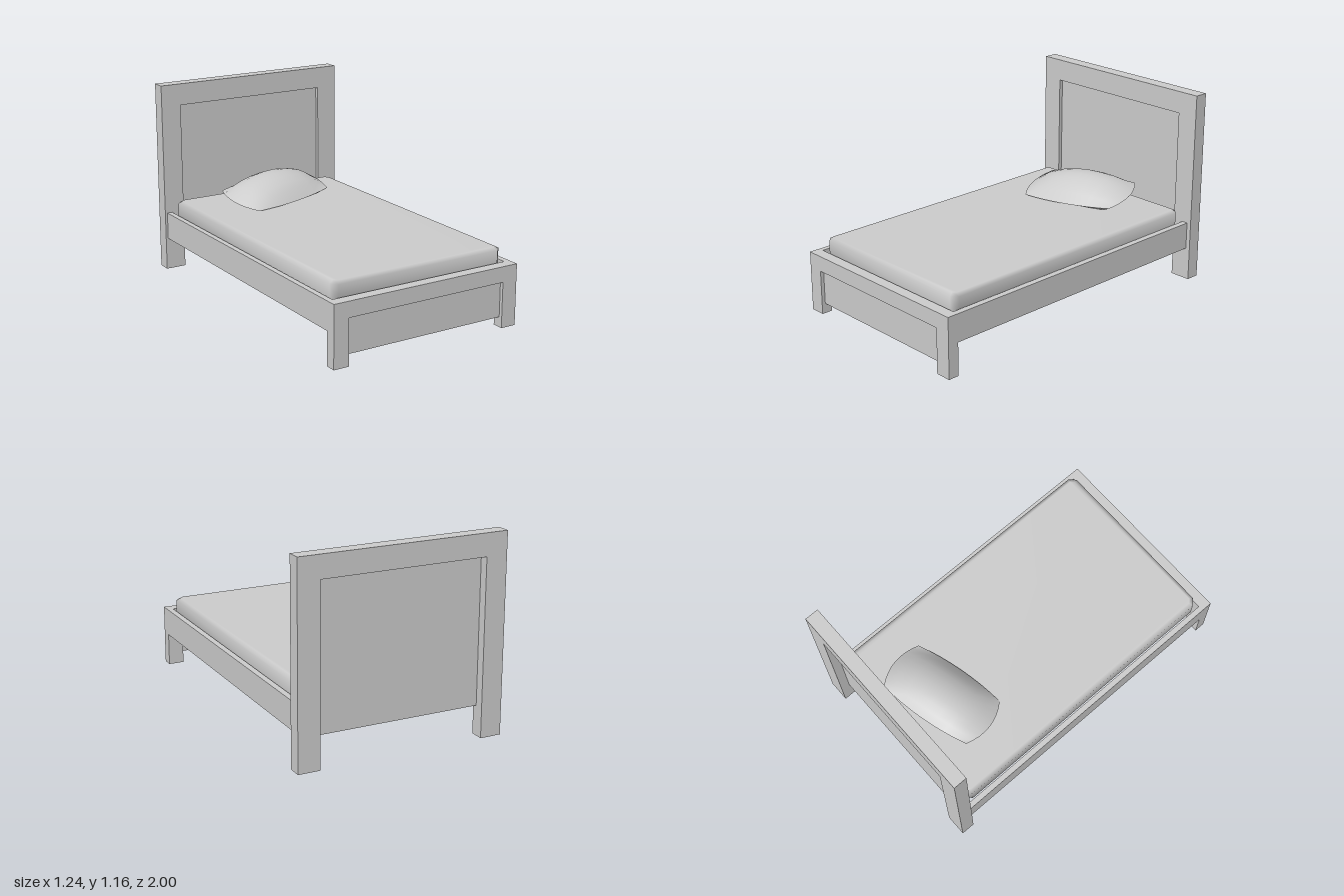
import * as THREE from 'three';
import { mergeVertices } from 'three/addons/utils/BufferGeometryUtils.js';

const material = new THREE.MeshStandardMaterial({ color: 0xcccccc });

function add(parent, name, geometry) {
  const mesh = new THREE.Mesh(geometry, material);
  mesh.name = name;
  parent.add(mesh);
  return mesh;
}

function outline(points) {
  return new THREE.Shape(points.map(([x, y]) => new THREE.Vector2(x, y)));
}

// Box given by its two opposite corners
function box(parent, name, [x0, y0, z0], [x1, y1, z1]) {
  const mesh = add(parent, name, new THREE.BoxGeometry(x1 - x0, y1 - y0, z1 - z0));
  mesh.position.set((x0 + x1) / 2, (y0 + y1) / 2, (z0 + z1) / 2);
}

// Two legs joined by a top beam, with a thin recessed panel between them
function board(parent, name, { x0, x1, inner0, inner1, top, beam, z0, z1, panelBottom, panelZ0, panelZ1 }) {
  const group = new THREE.Group();
  group.name = name;
  const shape = outline([
    [x0, 0], [inner0, 0], [inner0, beam], [inner1, beam],
    [inner1, 0], [x1, 0], [x1, top], [x0, top],
  ]);
  const frame = new THREE.ExtrudeGeometry(shape, { depth: z1 - z0, bevelEnabled: false });
  add(group, name + 'Frame', frame.translate(0, 0, z0));
  box(group, name + 'Panel', [inner0, panelBottom, panelZ0], [inner1, beam, panelZ1]);
  parent.add(group);
}

// Slab with cut corners and bevelled rims, shaded smoothly all round
function softSlab(width, height, length, corner, bevel, bevelHeight) {
  const w = width / 2 - bevel, l = length / 2 - bevel, c = corner;
  const shape = outline([
    [c - w, -l], [w - c, -l], [w, c - l], [w, l - c],
    [w - c, l], [c - w, l], [-w, l - c], [-w, c - l],
  ]);
  const slab = new THREE.ExtrudeGeometry(shape, {
    depth: height - 2 * bevelHeight, bevelSegments: 1, bevelSize: bevel, bevelThickness: bevelHeight,
  });
  slab.translate(0, 0, bevelHeight).rotateX(-Math.PI / 2);
  slab.deleteAttribute('normal');
  slab.deleteAttribute('uv');
  const smooth = mergeVertices(slab, 1e-4);
  smooth.computeVertexNormals();
  return smooth;
}

// One half of the pillow: side +1 is the upper skin, -1 the lower skin
function pillowSkin(side, floor) {
  const geometry = new THREE.PlaneGeometry(2, 2, 8, 8).rotateX(-side * Math.PI / 2);
  const p = geometry.attributes.position;
  for (let i = 0; i < p.count; i++) {
    const u = p.getX(i), v = p.getZ(i);
    const puff = Math.pow(Math.max(0, (1 - u * u) * (1 - v * v)), 0.8);
    const x = u * (0.293 + 0.045 * (1 - v * v));
    const z = v * (0.166 + 0.026 * (1 - u * u));
    // The seam rises towards the headboard
    const seam = 0.498 - 0.19 * (z - 0.245 * x);
    p.setXYZ(i, x, Math.max(floor, seam + side * (side > 0 ? 0.1 : 0.13) * puff), z);
  }
  geometry.computeVertexNormals();
  return geometry;
}

export function createModel() {
  const bed = new THREE.Group();
  bed.name = 'bed';

  board(bed, 'headboard', {
    x0: -0.622, x1: 0.622, inner0: -0.495, inner1: 0.493, top: 1.165, beam: 1.033,
    z0: -1, z1: -0.917, panelBottom: 0.175, panelZ0: -0.946, panelZ1: -0.941,
  });
  board(bed, 'footboard', {
    x0: -0.608, x1: 0.595, inner0: -0.515, inner1: 0.5, top: 0.362, beam: 0.27,
    z0: 0.933, z1: 1, panelBottom: 0.06, panelZ0: 0.973, panelZ1: 0.978,
  });

  // Side rails
  box(bed, 'rightRail', [-0.608, 0.197, -0.917], [-0.575, 0.362, 0.933]);
  box(bed, 'leftRail', [0.559, 0.197, -0.917], [0.595, 0.362, 0.933]);

  // Mattress
  const mattress = add(bed, 'mattress', softSlab(1.115, 0.133, 1.81, 0.02, 0.025, 0.015));
  mattress.position.set(-0.004, 0.312, 0.015);

  // Pillow, resting on the mattress at a slight turn
  const pillow = new THREE.Group();
  pillow.name = 'pillow';
  add(pillow, 'pillowTop', pillowSkin(1, 0.446));
  add(pillow, 'pillowBottom', pillowSkin(-1, 0.446));
  pillow.position.set(-0.01, 0, -0.612);
  pillow.rotation.y = 0.24;
  bed.add(pillow);

  return bed;
}
